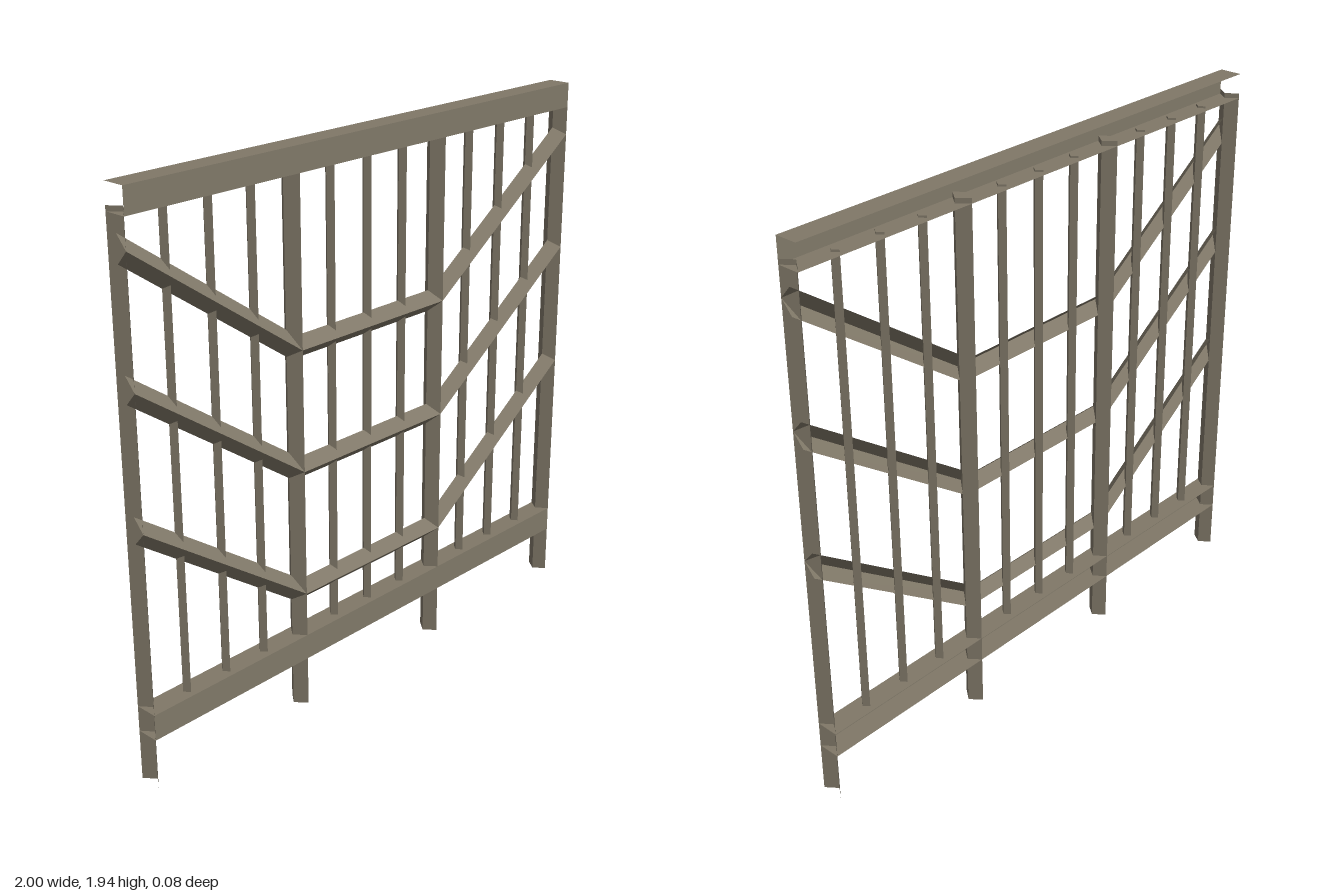
import * as THREE from 'three';

const BAY = 0.335;      // x of the inner posts
const DEPTH = 0.04;     // half depth of the frame

// Open sheet skinned between cross-sections, each a list of [x, y, z]
function loft(sections) {
  const pos = [];
  for (let i = 0; i < sections.length - 1; i++) {
    const p = sections[i], q = sections[i + 1];
    for (let j = 0; j < p.length - 1; j++) {
      pos.push(...p[j], ...p[j + 1], ...q[j + 1], ...p[j], ...q[j + 1], ...q[j]);
    }
  }
  const g = new THREE.BufferGeometry();
  g.setAttribute('position', new THREE.Float32BufferAttribute(pos, 3));
  g.computeVertexNormals();
  return g;
}

// Upright of diamond section between two heights
function diamond(rx, rz, y0, y1) {
  const g = new THREE.CylinderGeometry(1, 1, y1 - y0, 4);
  g.scale(rx, 1, rz);
  g.translate(0, (y0 + y1) / 2, 0);
  return g;
}

export function createModel() {
  const group = new THREE.Group();
  const metal = new THREE.MeshStandardMaterial({ color: 0x807868, flatShading: true, side: THREE.DoubleSide });
  metal.name = 'weathered metal';

  const add = (name, geometry, x = 0) => {
    const mesh = new THREE.Mesh(geometry, metal);
    mesh.name = name;
    mesh.position.x = x;
    group.add(mesh);
  };

  // Top and bottom channels, open to the back
  const channel = (y0, y1) => loft([-1, 1].map(x => [
    [x, y1, -DEPTH], [x, y1, DEPTH], [x, y0, DEPTH], [x, y0, -DEPTH],
  ]));
  add('topChannel', channel(1.85, 1.936));
  add('bottomChannel', channel(0.177, 0.267));

  // Inner posts, and half posts open at the panel ends
  for (const s of [-1, 1]) {
    add('innerPost', diamond(0.032, DEPTH, 0, 1.867), s * BAY);
    const half = [0, 1.867].map(y => [[s, y, -DEPTH], [s * 0.97, y, 0], [s, y, DEPTH]]);
    add('endPost', loft(s > 0 ? half : half.reverse()));
  }

  // Thin vertical bars, three to each bay
  for (const bay of [-2 / 3, 0, 2 / 3]) {
    for (const k of [-1, 0, 1]) add('bar', diamond(0.016, 0.02, 0.26, 1.857), bay + k / 6);
  }

  // V-section rails: level in the middle, rising to both ends, mitred at the posts
  const h = 0.037, rise = 0.465;
  for (const y of [0.425, 0.87, 1.287]) {
    const section = (x, yc, dx, dy) => [[x + dx, yc + dy, 0], [x, yc, DEPTH], [x - dx, yc - dy, 0]];
    add('rail', loft([
      section(-1, y + rise, 0, 0.045),
      section(-BAY, y, 0.012, h),
      section(BAY, y, -0.012, h),
      section(1, y + rise, 0, 0.045),
    ]));
  }

  return group;
}
